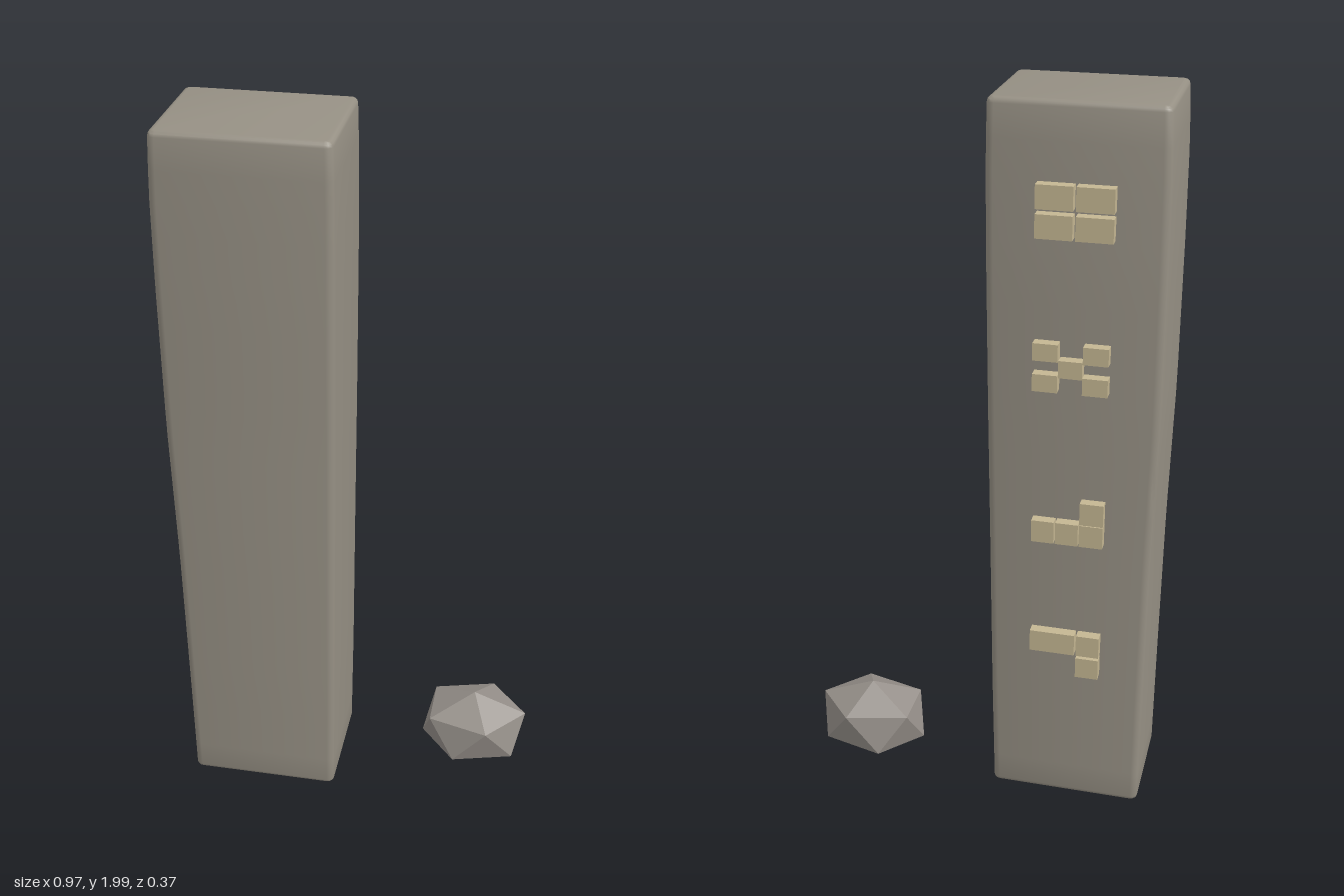
import * as THREE from 'three';
import { mergeVertices, toCreasedNormals } from 'three/addons/utils/BufferGeometryUtils.js';
import { ConvexGeometry } from 'three/addons/geometries/ConvexGeometry.js';

const stone = new THREE.MeshStandardMaterial({ color: 0x969084 });
const rockStone = new THREE.MeshStandardMaterial({ color: 0x96908a, flatShading: true });
const tan = new THREE.MeshStandardMaterial({ color: 0xc4b692 });

// Pillar sides by height: y, left x, right x, back z, front z
const SECTIONS = [
  [0.02, -0.473, -0.055, -0.134, 0.186],
  [0.35, -0.474, -0.049, -0.140, 0.187],
  [0.80, -0.477, -0.044, -0.148, 0.186],
  [1.20, -0.485, -0.039, -0.155, 0.184],
  [1.60, -0.484, -0.035, -0.160, 0.185],
  [1.85, -0.481, -0.033, -0.158, 0.184],
  [2.00, -0.474, -0.035, -0.153, 0.181],
];

function sectionAt(y) {
  let i = 0;
  while (i < SECTIONS.length - 2 && y > SECTIONS[i + 1][0]) i++;
  const a = SECTIONS[i], b = SECTIONS[i + 1];
  const t = THREE.MathUtils.clamp((y - a[0]) / (b[0] - a[0]), 0, 1);
  return a.map((v, k) => THREE.MathUtils.lerp(v, b[k], t));
}

// Rounded pillar, bent slightly to the uneven stone outline
function makePillar() {
  const w = 0.22, d = 0.17, r = 0.008, bevel = 0.014;
  const x = w - bevel, y = d - bevel;
  const s = new THREE.Shape();
  s.moveTo(-x + r, -y);
  s.lineTo(x - r, -y).quadraticCurveTo(x, -y, x, -y + r);
  s.lineTo(x, y - r).quadraticCurveTo(x, y, x - r, y);
  s.lineTo(-x + r, y).quadraticCurveTo(-x, y, -x, y - r);
  s.lineTo(-x, -y + r).quadraticCurveTo(-x, -y, -x + r, -y);
  let geo = new THREE.ExtrudeGeometry(s, {
    depth: 1.98 - 2 * bevel, steps: 24, curveSegments: 3,
    bevelEnabled: true, bevelSize: bevel, bevelThickness: bevel, bevelSegments: 3,
  });
  geo.rotateX(-Math.PI / 2).translate(0, 0.02 + bevel, 0);
  const p = geo.attributes.position;
  for (let i = 0; i < p.count; i++) {
    const [, left, right, back, front] = sectionAt(p.getY(i));
    p.setX(i, THREE.MathUtils.mapLinear(p.getX(i), -w, w, left, right));
    p.setZ(i, THREE.MathUtils.mapLinear(p.getZ(i), -d, d, back, front));
  }
  geo.deleteAttribute('uv');
  geo.deleteAttribute('normal');
  geo = toCreasedNormals(mergeVertices(geo, 1e-5), 0.7);
  const mesh = new THREE.Mesh(geo, stone);
  mesh.name = 'pillar';
  return mesh;
}

// Raised marks on the back: blocks as [x, y, width, height]
const MARKS = [
  { name: 'squareMark', z: -0.188, blocks: [
    [-0.21, 1.78, 0.092, 0.06], [-0.309, 1.78, 0.092, 0.06],
    [-0.21, 1.708, 0.092, 0.06], [-0.309, 1.708, 0.092, 0.06]] },
  { name: 'crossMark', z: -0.186, blocks: [
    [-0.195, 1.388, 0.064, 0.046], [-0.322, 1.388, 0.064, 0.046],
    [-0.259, 1.347, 0.06, 0.046],
    [-0.195, 1.306, 0.064, 0.046], [-0.322, 1.306, 0.064, 0.046]] },
  { name: 'stepMark', z: -0.178, blocks: [
    [-0.195, 0.882, 0.06, 0.062], [-0.259, 0.882, 0.06, 0.062],
    [-0.323, 0.882, 0.062, 0.062], [-0.323, 0.946, 0.062, 0.062]] },
  { name: 'hookMark', z: -0.173, blocks: [
    [-0.226, 0.541, 0.122, 0.062], [-0.323, 0.541, 0.062, 0.062],
    [-0.323, 0.472, 0.062, 0.06]] },
];

function makeMark({ name, z, blocks }) {
  const group = new THREE.Group();
  group.name = name;
  for (const [x, y, w, h] of blocks) {
    const block = new THREE.Mesh(new THREE.BoxGeometry(w, h, 0.035), tan);
    block.position.set(x, y, z + 0.0175);
    block.name = 'markBlock';
    group.add(block);
  }
  return group;
}

// Twenty-sided boulder, stretched along x
function makeBoulder() {
  const points = [new THREE.Vector3(0, 0.115, 0), new THREE.Vector3(0, -0.115, 0)];
  for (let i = 0; i < 5; i++) {
    const a = (i * Math.PI * 2) / 5;
    const x = 0.153 * Math.cos(a), z = 0.124 * Math.sin(a);
    points.push(new THREE.Vector3(x, 0.055, z), new THREE.Vector3(-x, -0.055, -z));
  }
  const mesh = new THREE.Mesh(new ConvexGeometry(points), rockStone);
  mesh.position.set(0.332, 0.125, -0.047);
  mesh.name = 'boulder';
  return mesh;
}

export function createModel() {
  const model = new THREE.Group();
  model.name = 'stonePillar';
  model.add(makePillar(), ...MARKS.map(makeMark), makeBoulder());
  return model;
}
